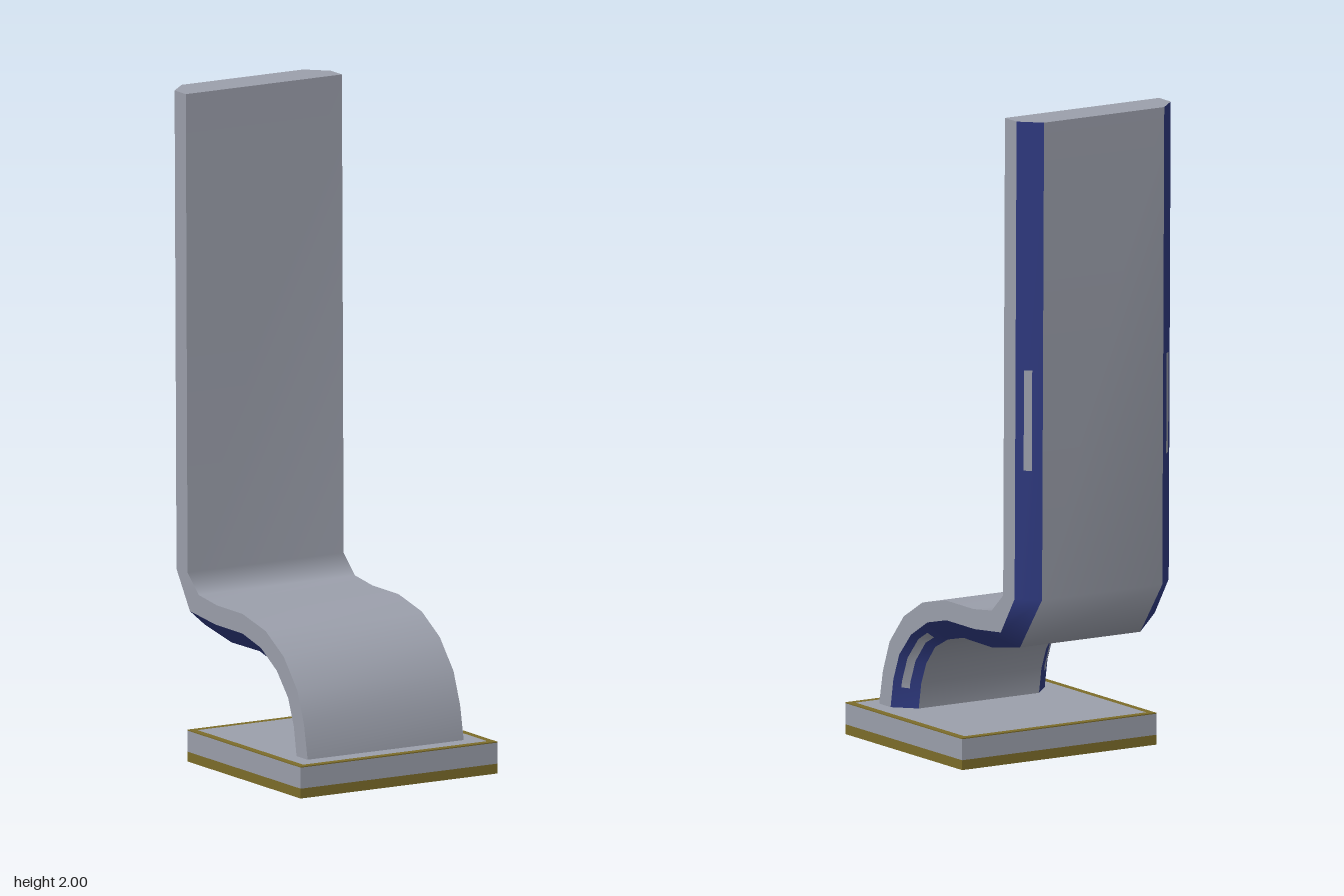
import * as THREE from 'three';

const gray = new THREE.MeshStandardMaterial({ color: 0x9b9fab, side: THREE.DoubleSide });
gray.name = 'steel gray';
const blue = new THREE.MeshStandardMaterial({ color: 0x2f3a80, side: THREE.DoubleSide });
blue.name = 'navy blue';
const ochre = new THREE.MeshStandardMaterial({ color: 0x7c6c2a });
ochre.name = 'dark ochre';

// Band stations from foot to tip: [front z, y, shoulder z, y, back z, y]
const STATIONS = [
  [0.37, 0.02, 0.307, 0.02, 0.247, 0.02],
  [0.37, 0.1, 0.307, 0.1, 0.245, 0.1],
  [0.35, 0.2, 0.292, 0.185, 0.232, 0.175],
  [0.313, 0.296, 0.26, 0.265, 0.205, 0.24],
  [0.235, 0.386, 0.195, 0.337, 0.155, 0.3],
  [0.132, 0.446, 0.105, 0.39, 0.085, 0.335],
  [0, 0.475, 0, 0.415, 0, 0.355],
  [-0.148, 0.475, -0.155, 0.415, -0.16, 0.353],
  [-0.25, 0.488, -0.3, 0.43, -0.313, 0.38],
  [-0.313, 0.545, -0.376, 0.545, -0.434, 0.545],
  [-0.323, 2, -0.387, 2, -0.445, 2],
];
const HALF_WIDTHS = [0.273, 0.273, 0.213];

// Point on the band: s along the stations, edge 0 front, 1 shoulder, 2 back
function bandPoint(s, edge, side, lift = 0) {
  const i = Math.min(Math.floor(s), STATIONS.length - 2);
  const j = Math.min(Math.floor(edge), 1);
  const { lerp } = THREE.MathUtils;
  const along = (k) => lerp(STATIONS[i][k], STATIONS[i + 1][k], s - i);
  const x = lerp(HALF_WIDTHS[j], HALF_WIDTHS[j + 1], edge - j) + lift;
  const y = lerp(along(2 * j + 1), along(2 * j + 3), edge - j);
  const z = lerp(along(2 * j), along(2 * j + 2), edge - j);
  return [side * x, y, z];
}

// Smooth strip between two [edge, side] rails
function strip(name, material, a, b, steps, lift = 0) {
  const pos = [], index = [];
  steps.forEach((s, i) => {
    pos.push(...bandPoint(s, ...a, lift), ...bandPoint(s, ...b, lift));
    const k = 2 * i;
    if (i) index.push(k - 2, k - 1, k + 1, k - 2, k + 1, k);
  });
  return surface(name, material, pos, index);
}

function surface(name, material, pos, index) {
  const g = new THREE.BufferGeometry();
  g.setAttribute('position', new THREE.Float32BufferAttribute(pos, 3));
  g.setIndex(index);
  g.computeVertexNormals();
  const mesh = new THREE.Mesh(g, material);
  mesh.name = name;
  return mesh;
}

// Slightly skewed base outline, shrunk by an inset
function outline(inset) {
  return [[-0.343, 0.445], [0.347, 0.442], [0.341, -0.193], [-0.349, -0.19]].map(([x, z]) => {
    const edgeZ = z > 0 ? z - inset : z + inset;
    return new THREE.Vector2(x - Math.sign(x) * inset, -edgeZ);
  });
}

// Upright slab or frame between two heights
function slab(name, material, outer, inner, y0, y1) {
  const shape = new THREE.Shape(outline(outer));
  if (inner) shape.holes.push(new THREE.Path(outline(inner)));
  const g = new THREE.ExtrudeGeometry(shape, { depth: y1 - y0, bevelEnabled: false });
  g.rotateX(-Math.PI / 2);
  g.translate(0, y0, 0);
  const mesh = new THREE.Mesh(g, material);
  mesh.name = name;
  return mesh;
}

export function createModel() {
  const model = new THREE.Group();
  model.name = 'bentBandOnBase';

  // Bent band with bevelled back edges
  const band = new THREE.Group();
  band.name = 'band';
  const steps = STATIONS.map((_, i) => i);
  const loop = [[0, -1], [0, 1], [1, 1], [2, 1], [2, -1], [1, -1]];
  const names = ['bandFront', 'leftSide', 'leftBevel', 'bandBack', 'rightBevel', 'rightSide'];
  loop.forEach((rail, i) => {
    const material = names[i].endsWith('Bevel') ? blue : gray;
    band.add(strip(names[i], material, rail, loop[(i + 1) % 6], steps));
  });

  // Band end caps
  for (const [name, s] of [['footCap', 0], ['tipCap', STATIONS.length - 1]]) {
    const pos = loop.flatMap((rail) => bandPoint(s, ...rail));
    const index = [];
    for (let i = 1; i < 5; i++) index.push(0, ...(s ? [i, i + 1] : [i + 1, i]));
    band.add(surface(name, gray, pos, index));
  }

  // Light slots set along both bevels, one straight and one curved
  for (const side of [1, -1]) {
    const rails = [[1.35, side], [1.65, side]];
    if (side < 0) rails.reverse();
    band.add(strip('upperSlot', gray, ...rails, [9.27, 9.48], 0.004));
    band.add(strip('lowerSlot', gray, ...rails, [1.75, 2, 3, 4, 4.6], 0.004));
  }
  model.add(band);

  // Hollow base, open underneath, with ochre edging
  const base = new THREE.Group();
  base.name = 'base';
  base.add(
    slab('bottomRim', ochre, 0, 0.022, 0, 0.03),
    slab('innerLiner', gray, 0.022, 0.028, 0.002, 0.03),
    slab('baseWalls', gray, 0, 0.028, 0.03, 0.094),
    slab('basePlate', gray, 0.022, 0, 0.075, 0.097),
    slab('topEdging', ochre, 0, 0.022, 0.094, 0.097),
  );
  model.add(base);
  return model;
}
